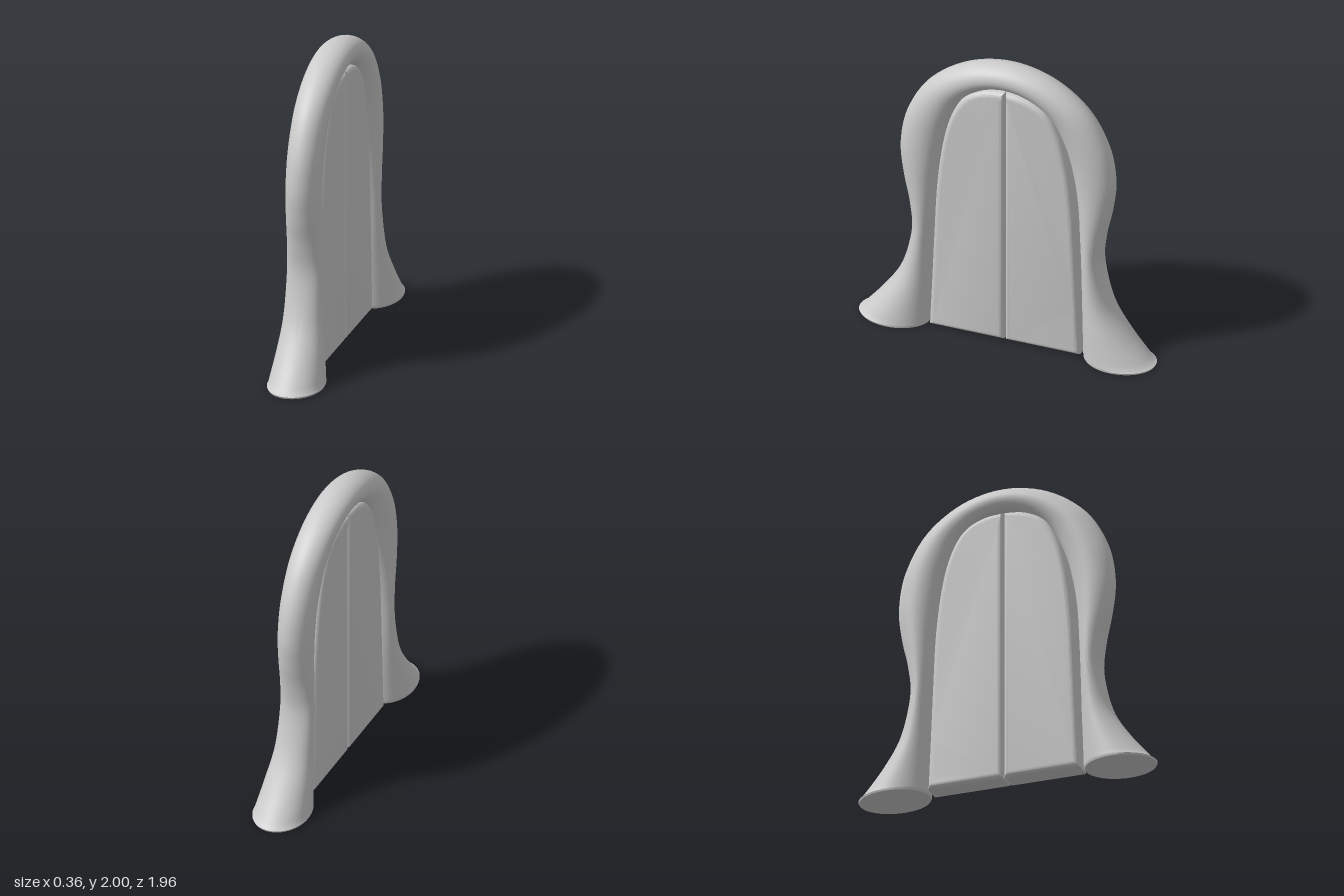
import * as THREE from 'three';
import { toCreasedNormals } from 'three/addons/utils/BufferGeometryUtils.js';

const material = new THREE.MeshStandardMaterial({ color: 0xcccccc });
const CENTRE_X = -0.0125;

// Stations from foot to crown: outer z, outer y, inner z, inner y, half width, centre x
const STATIONS = [
  [0.98, 0, 0.51, 0, 0.178, -0.002],
  [0.815, 0.2, 0.505, 0.2, 0.15, -0.005],
  [0.695, 0.4, 0.5, 0.4, 0.126, -0.01],
  [0.63, 0.67, 0.495, 0.67, 0.115, -0.0125],
  [0.645, 0.87, 0.485, 0.87, 0.112, -0.0125],
  [0.69, 1.08, 0.47, 1.1, 0.112, -0.0125],
  [0.71, 1.29, 0.44, 1.3, 0.112, -0.0125],
  [0.665, 1.53, 0.39, 1.49, 0.112, -0.0125],
  [0.525, 1.77, 0.3, 1.675, 0.112, -0.0125],
  [0.285, 1.94, 0.165, 1.785, 0.112, -0.0125],
  [0, 2, 0, 1.825, 0.112, -0.0125],
];

// Arch: elliptical sections lofted between the outer and inner outlines
function archGeometry(steps = 120, sides = 48) {
  const other = STATIONS.slice(0, -1).reverse()
    .map(([oz, oy, iz, iy, w, c]) => [-oz, oy, -iz, iy, w, c]);
  const all = [...STATIONS, ...other];
  const spline = (k) => new THREE.SplineCurve(all.map((s) => new THREE.Vector2(s[k], s[k + 1])));
  const outer = spline(0), inner = spline(2), width = spline(4);

  // Each ring is [t, scale, lift]; the extra end rings close and round the feet
  const rings = [[0, 0, 0], [0, 0.975, 0]];
  for (let i = 0; i <= steps; i++) rings.push([i / steps, 1, i === 0 || i === steps ? 0.012 : 0]);
  rings.push([1, 0.975, 0], [1, 0, 0]);

  const positions = [], index = [];
  rings.forEach(([t, k, lift], i) => {
    const o = outer.getPoint(t), n = inner.getPoint(t), w = width.getPoint(t);
    for (let j = 0; j < sides; j++) {
      const a = (j / sides) * Math.PI * 2, c = Math.cos(a) * k / 2;
      positions.push(
        w.y + Math.sin(a) * w.x * k,
        (o.y + n.y) / 2 + c * (o.y - n.y) + lift,
        (o.x + n.x) / 2 + c * (o.x - n.x));
      if (i === rings.length - 1) continue;
      const p = i * sides + j, q = i * sides + (j + 1) % sides;
      index.push(p, q, p + sides, q, q + sides, p + sides);
    }
  });
  const geometry = new THREE.BufferGeometry();
  geometry.setAttribute('position', new THREE.Float32BufferAttribute(positions, 3));
  geometry.setIndex(index);
  return toCreasedNormals(geometry, 0.7);
}

// Door leaf: half of a tall rounded arch with softened edges
function doorGeometry(side) {
  const edge = new THREE.SplineCurve([
    [0.5, 0.01], [0.485, 0.35], [0.47, 0.7], [0.452, 1.05], [0.415, 1.35],
    [0.36, 1.57], [0.27, 1.73], [0.14, 1.805], [0.003, 1.823],
  ].map(([z, y]) => new THREE.Vector2(z * side, y)));
  const shape = new THREE.Shape([new THREE.Vector2(0.003 * side, 0.01), ...edge.getPoints(48)]);
  const thickness = 0.17, bevel = 0.035;
  const geometry = new THREE.ExtrudeGeometry(shape, {
    depth: thickness - 2 * bevel, bevelThickness: bevel, bevelSize: bevel,
    bevelOffset: -bevel, bevelSegments: 6,
  });
  geometry.translate(0, 0, bevel - thickness / 2);
  geometry.rotateY(-Math.PI / 2);
  return toCreasedNormals(geometry, 0.7);
}

export function createModel() {
  const group = new THREE.Group();
  group.name = 'archedDoorway';

  const arch = new THREE.Mesh(archGeometry(), material);
  arch.name = 'archFrame';
  group.add(arch);

  // Pair of mirrored leaves
  for (const side of [1, -1]) {
    const door = new THREE.Mesh(doorGeometry(side), material);
    door.name = side > 0 ? 'frontDoor' : 'backDoor';
    door.position.x = CENTRE_X;
    group.add(door);
  }
  return group;
}
